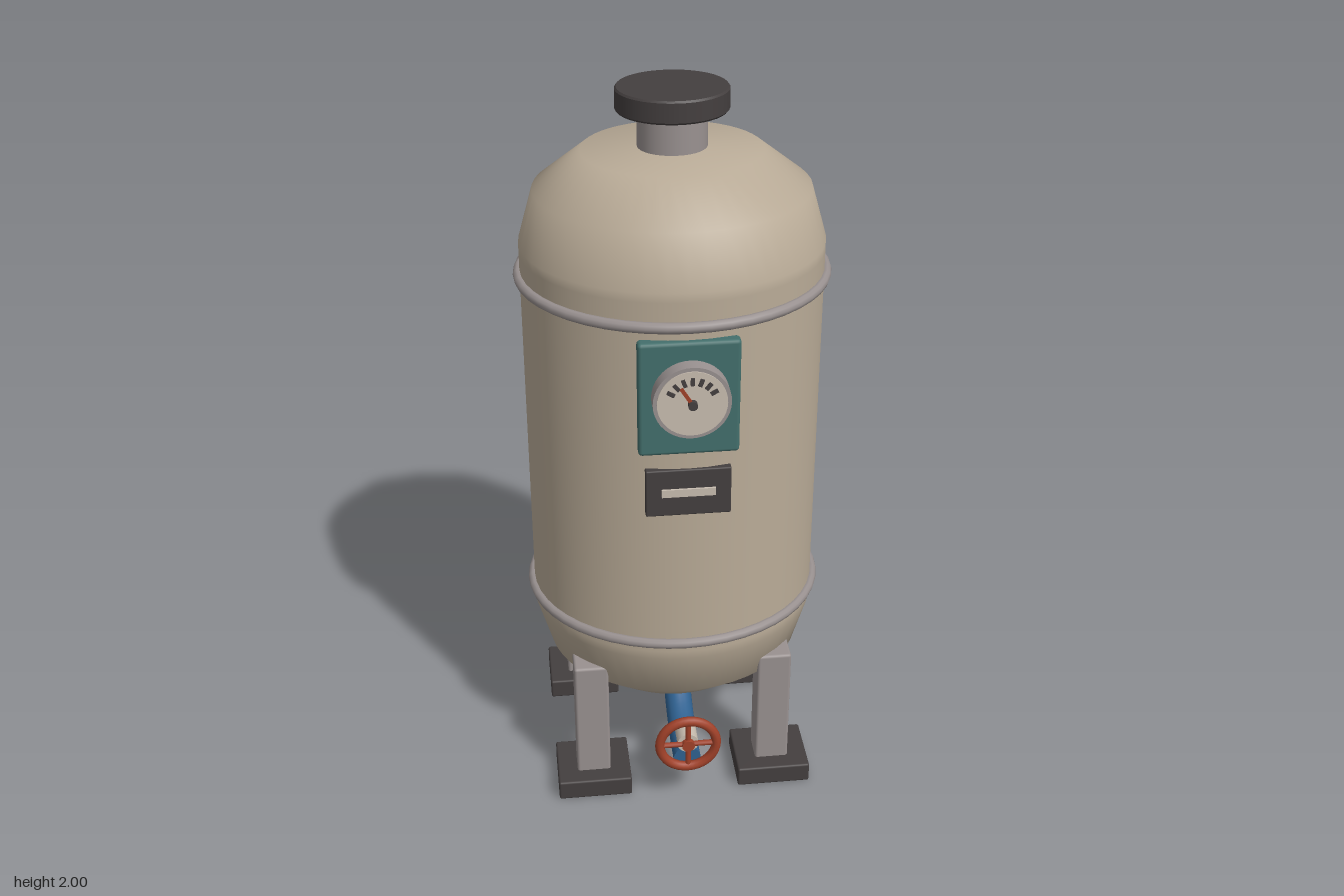
import * as THREE from 'three';
import { RoundedBoxGeometry } from 'three/addons/geometries/RoundedBoxGeometry.js';

const mat = (name, color) => {
  const m = new THREE.MeshStandardMaterial({ color });
  m.name = name;
  return m;
};

export function createModel() {
  const model = new THREE.Group();
  model.name = 'pressureTank';
  const beige = mat('tankBeige', 0xb9ab97);
  const steel = mat('steelGrey', 0x999190);
  const dark = mat('darkIron', 0x443f3f);
  const teal = mat('panelTeal', 0x436f6c);
  const red = mat('valveRed', 0xa04129);
  const blue = mat('pipeBlue', 0x2f6190);
  const cream = mat('dialCream', 0xc8bdb0);

  const add = (parent, name, geometry, material, x = 0, y = 0, z = 0) => {
    const mesh = new THREE.Mesh(geometry, material);
    mesh.name = name;
    mesh.position.set(x, y, z);
    parent.add(mesh);
    return mesh;
  };
  const box = (w, h, d, r = 0.006) => new RoundedBoxGeometry(w, h, d, 2, r);
  const disc = (r, depth, seg = 32) => new THREE.CylinderGeometry(r, r, depth, seg).rotateX(Math.PI / 2);

  // Vessel, slightly flattened front to back
  const tankZ = -0.0375;
  const vessel = new THREE.Group();
  vessel.name = 'vessel';
  vessel.position.z = tankZ;
  vessel.scale.z = 0.913;
  model.add(vessel);
  const profile = [
    [0, 0.25], [0.235, 0.265], [0.36, 0.365], [0.4, 0.505], [0.4, 0.53],
    [0.4, 1.575], [0.4, 1.6], [0.36, 1.74], [0.235, 1.838], [0, 1.85],
  ].map(([r, y]) => new THREE.Vector2(r, y));
  add(vessel, 'tankBody', new THREE.LatheGeometry(profile, 48), beige);
  for (const y of [0.56, 1.51]) {
    add(vessel, 'band', new THREE.TorusGeometry(0.403, 0.015, 10, 48).rotateX(Math.PI / 2), steel, 0, y);
  }

  // Filler neck and cap
  add(vessel, 'neck', new THREE.CylinderGeometry(0.09, 0.09, 0.13, 32), steel, 0, 1.885);
  add(vessel, 'cap', new THREE.CylinderGeometry(0.145, 0.145, 0.05, 40), dark, 0, 1.97);
  add(vessel, 'capTopEdge', new THREE.CylinderGeometry(0.141, 0.145, 0.005, 40), dark, 0, 1.9975);
  add(vessel, 'capBottomEdge', new THREE.CylinderGeometry(0.145, 0.141, 0.005, 40), dark, 0, 1.9425);

  // Four legs with feet
  for (const sx of [-1, 1]) {
    for (const sz of [-1, 1]) {
      const x = sx * 0.26;
      const z = tankZ + sz * 0.235;
      add(model, 'leg', box(0.096, 0.405, 0.087, 0.008), steel, x, 0.2225, z);
      add(model, 'foot', box(0.21, 0.06, 0.187), dark, x, 0.03, z);
    }
  }

  // Instrument panel and gauge
  add(model, 'panel', box(0.258, 0.315, 0.037, 0.01), teal, 0, 1.318, 0.3235);
  const gauge = new THREE.Group();
  gauge.name = 'gauge';
  gauge.position.set(0, 1.338, 0);
  model.add(gauge);
  add(gauge, 'gaugeStem', disc(0.02, 0.03, 16), steel, 0, 0, 0.35);
  add(gauge, 'gaugeCase', disc(0.098, 0.04, 40), steel, 0, 0, 0.379);
  add(gauge, 'dialFace', disc(0.088, 0.004, 40), cream, 0, 0, 0.4);
  for (let i = 0; i < 7; i++) {
    const a = THREE.MathUtils.degToRad(30 + 20 * i);
    const tick = add(gauge, 'tick', new THREE.BoxGeometry(0.02, 0.01, 0.006), dark,
      Math.cos(a) * 0.062, Math.sin(a) * 0.062, 0.404);
    tick.rotation.z = a;
  }
  const needleAngle = THREE.MathUtils.degToRad(122);
  const needle = add(gauge, 'needle', new THREE.BoxGeometry(0.055, 0.009, 0.006), red,
    Math.cos(needleAngle) * 0.027, Math.sin(needleAngle) * 0.027, 0.408);
  needle.rotation.z = needleAngle;
  add(gauge, 'needleHub', disc(0.012, 0.014, 16), dark, 0, 0, 0.409);

  // Rating plate with a light strip
  add(model, 'ratingPlate', box(0.222, 0.136, 0.028, 0.004), dark, 0, 1.043, 0.32);
  add(model, 'ratingStrip', new THREE.BoxGeometry(0.14, 0.022, 0.008), cream, 0, 1.045, 0.336);

  // Drain pipe with closed end
  const path = new THREE.CatmullRomCurve3([
    [0.33, 0.155], [0.24, 0.157], [0.15, 0.182], [0.06, 0.236], [-0.03, 0.295],
  ].map(([z, y]) => new THREE.Vector3(0, y, z)));
  add(model, 'drainPipe', new THREE.TubeGeometry(path, 28, 0.039, 16), blue);
  add(model, 'pipeEnd', disc(0.039, 0.004, 16), blue, 0, 0.155, 0.329);

  // Valve with spoked hand wheel
  const valve = new THREE.Group();
  valve.name = 'valve';
  valve.position.set(0, 0.224, 0);
  model.add(valve);
  add(valve, 'valveStem', disc(0.03, 0.075, 20), cream, 0, 0, 0.312);
  add(valve, 'wheelRim', new THREE.TorusGeometry(0.08, 0.0135, 10, 36), red, 0, 0, 0.351);
  for (const turn of [0, Math.PI / 2]) {
    const spoke = add(valve, 'wheelSpoke', new THREE.CylinderGeometry(0.008, 0.008, 0.16, 10), red, 0, 0, 0.351);
    spoke.rotation.z = turn;
  }
  add(valve, 'wheelHub', disc(0.018, 0.026, 16), red, 0, 0, 0.351);

  return model;
}
